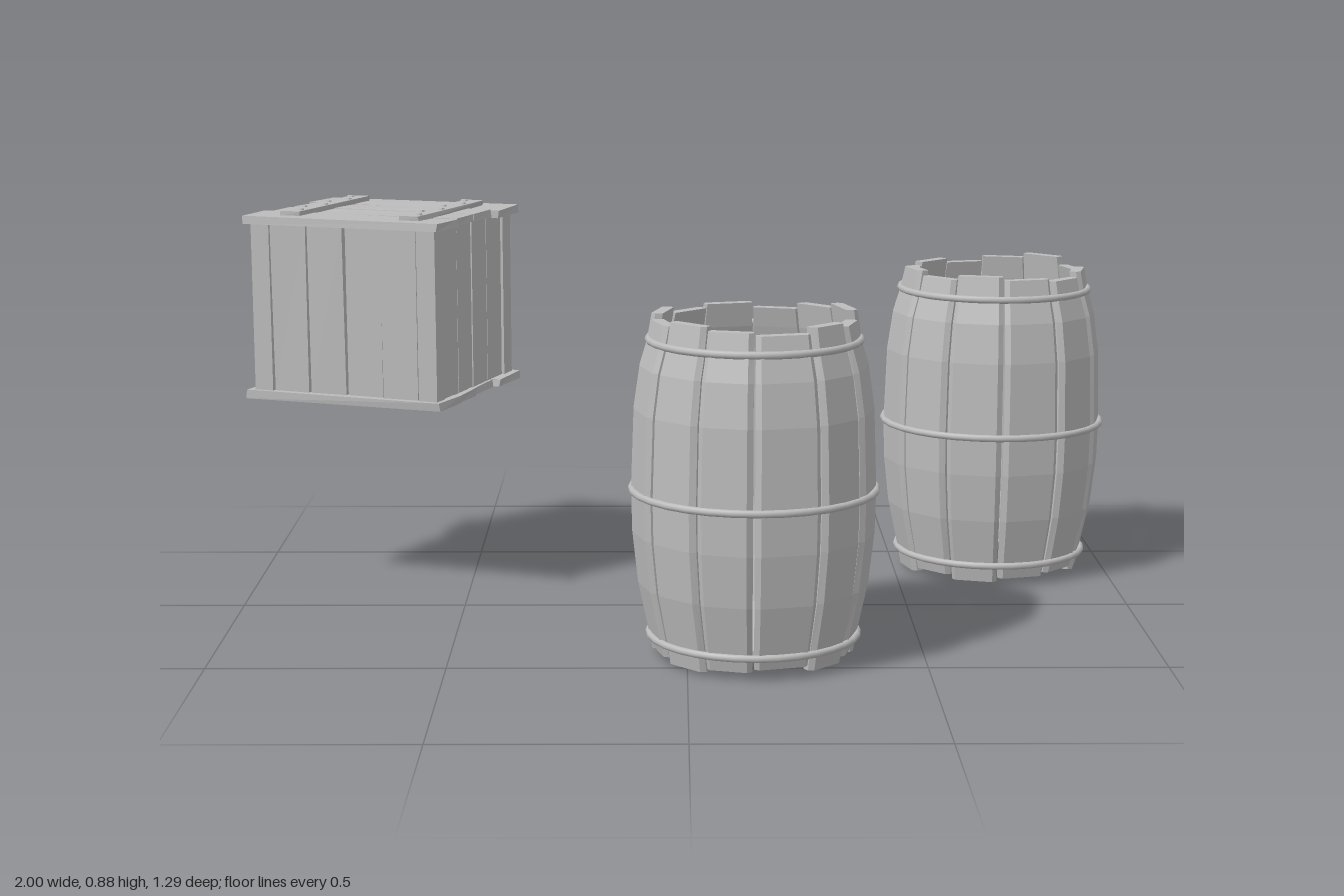
import * as THREE from 'three';

const wood = new THREE.MeshStandardMaterial({ color: 0xbcbcbc, flatShading: true });
wood.name = 'plainGrey';
const smooth = new THREE.MeshStandardMaterial({ color: 0xbcbcbc });
smooth.name = 'plainGreySmooth';

let seed = 7;
const rand = () => ((seed = (seed * 16807) % 2147483647) / 2147483647);
const jitter = (a) => (rand() * 2 - 1) * a;

function add(parent, name, geo, mat, x = 0, y = 0, z = 0) {
  const m = new THREE.Mesh(geo, mat);
  m.name = name;
  m.position.set(x, y, z);
  parent.add(m);
  return m;
}

// Curved barrel stave: a bevelled cross-section swept up the bulging profile.
function staveGeometry(a0, a1, ext, push) {
  const rows = [
    [0.024 - ext, 0.212], [0.05, 0.219], [0.16, 0.242], [0.27, 0.254], [0.36, 0.256],
    [0.53, 0.25], [0.62, 0.237], [0.67, 0.222], [0.712 + ext, 0.212],
  ];
  const gap = 0.008, bevel = 0.05, thick = 0.024, n = 6;
  const pos = [], idx = [];
  for (const [y, r0] of rows) {
    const r = r0 + push;
    const section = [
      [a0 + gap, r - 0.008], [a0 + gap + bevel, r], [a1 - gap - bevel, r],
      [a1 - gap, r - 0.008], [a1 - gap, r - thick], [a0 + gap, r - thick],
    ];
    for (const [a, q] of section) pos.push(Math.sin(a) * q, y, Math.cos(a) * q);
  }
  for (let j = 0; j < rows.length - 1; j++) {
    for (let i = 0; i < n; i++) {
      const a = j * n + i, b = j * n + (i + 1) % n;
      idx.push(a, b, b + n, a, b + n, a + n);
    }
  }
  const t = (rows.length - 1) * n;
  for (let k = 1; k < n - 1; k++) idx.push(t, t + k, t + k + 1, 0, k + 1, k);
  const g = new THREE.BufferGeometry();
  g.setAttribute('position', new THREE.Float32BufferAttribute(pos, 3));
  g.setIndex(idx);
  g.computeVertexNormals();
  return g;
}

function barrel(name, x, z, turn, hasBottom) {
  const g = new THREE.Group();
  g.name = name;
  const ext = [0, 0.012, 0.003, 0.022, 0.012, 0, 0.01, 0.002, 0.015, 0.004, 0.014, 0.006];
  const seams = ext.map((_, i) => (i * Math.PI) / 6 + jitter(0.03));
  ext.forEach((e, i) => {
    const end = i < 11 ? seams[i + 1] : seams[0] + Math.PI * 2;
    add(g, 'stave', staveGeometry(seams[i], end, e, jitter(0.002)), wood);
  });
  // Hoops
  for (const [y, r] of [[0.05, 0.22], [0.36, 0.256], [0.675, 0.22]]) {
    const hoop = new THREE.TorusGeometry(r, 0.008, 8, 32).rotateX(Math.PI / 2);
    add(g, 'hoop', hoop, smooth, 0, y, 0);
  }
  if (hasBottom) add(g, 'barrelBottom', new THREE.CylinderGeometry(0.198, 0.198, 0.012, 24), wood, 0, 0.055, 0);
  g.position.set(x, 0, z);
  g.rotation.y = turn;
  return g;
}

// Rough board: a box whose corners are nudged a little.
function board(w, h, d, wobble) {
  const geo = new THREE.BoxGeometry(w, h, d);
  const p = geo.attributes.position;
  const shift = {};
  for (let i = 0; i < p.count; i++) {
    const key = [p.getX(i), p.getY(i), p.getZ(i)].map(Math.sign).join();
    shift[key] ??= wobble.map(jitter);
    const s = shift[key];
    p.setXYZ(i, p.getX(i) + s[0], p.getY(i) + s[1], p.getZ(i) + s[2]);
  }
  geo.computeVertexNormals();
  return geo;
}

function crate() {
  const g = new THREE.Group();
  g.name = 'crate';
  const W = 0.485, D = 0.455, bodyX = 0.228, bodyZ = 0.213;

  // Lid and floor planks running from side to side
  const widths = [0.13, 0.105, 0.1, 0.12];
  const lengths = [W, W - 0.03, W - 0.015, W];
  for (const [name, y] of [['lidPlank', 0.858], ['floorPlank', 0.457]]) {
    let z = -D / 2;
    widths.forEach((w, i) => {
      add(g, name, board(lengths[i], 0.018, w - 0.005, [0.003, 0.002, 0.002]), wood,
        jitter(0.004), y + jitter(0.002), z + w / 2);
      z += w;
    });
  }

  // Lid battens with nail heads
  for (const x of [-0.145, 0.15]) {
    add(g, 'lidBatten', board(0.046, 0.013, 0.36, [0.003, 0.001, 0.004]), wood, x, 0.872, 0);
    for (let i = 0; i < 6; i++) {
      add(g, 'nail', new THREE.CylinderGeometry(0.008, 0.01, 0.005, 8), wood,
        x + (i % 2 ? 0.011 : -0.011), 0.88, -0.15 + i * 0.06);
    }
  }

  // Corner posts
  for (const sx of [-1, 1]) {
    for (const sz of [-1, 1]) {
      add(g, 'cornerPost', new THREE.BoxGeometry(0.045, 0.385, 0.045), wood,
        sx * (bodyX - 0.0225), 0.658, sz * (bodyZ - 0.0225));
    }
  }

  // Upright wall planks between the posts
  for (let side = 0; side < 4; side++) {
    const wall = new THREE.Group();
    wall.name = 'wall';
    wall.rotation.y = (side * Math.PI) / 2;
    const half = side % 2 ? bodyZ : bodyX;
    const out = side % 2 ? bodyX : bodyZ;
    const span = 2 * (half - 0.045), w = span / 4;
    for (let i = 0; i < 4; i++) {
      add(wall, 'wallPlank', board(w - 0.004, 0.385, 0.02, [0.0018, 0, 0.001]), wood,
        -span / 2 + (i + 0.5) * w, 0.658, out - 0.017 + jitter(0.003));
    }
    g.add(wall);
  }
  g.position.set(-0.7, 0, -0.29);
  g.rotation.y = -0.34;
  return g;
}

export function createModel() {
  const model = new THREE.Group();
  model.name = 'barrelsAndCrate';
  model.add(barrel('frontBarrel', 0.14, 0.38, 0, true));
  model.add(barrel('backBarrel', 0.73, -0.38, Math.PI / 6, false));
  model.add(crate());
  return model;
}
